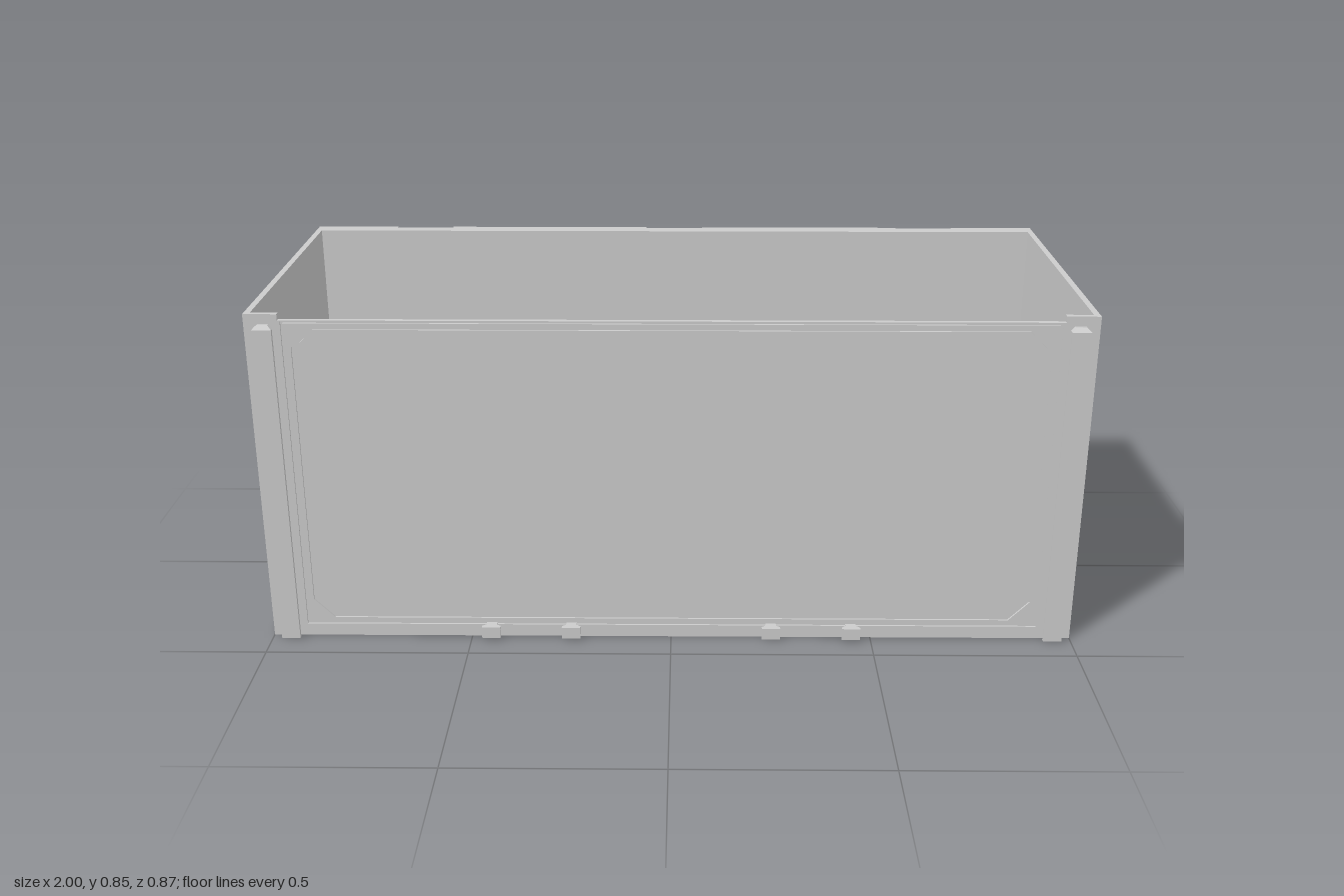
import * as THREE from 'three';

const mat = new THREE.MeshStandardMaterial({ color: 0xcccccc, side: THREE.DoubleSide, flatShading: true });
const H = 0.845;

export function createModel() {
  const model = new THREE.Group();
  const add = (name, geo, x = 0, y = 0, z = 0) => {
    const m = new THREE.Mesh(geo, mat);
    m.name = name;
    m.position.set(x, y, z);
    model.add(m);
    return m;
  };
  const box = (name, x0, x1, y0, y1, z0, z1) =>
    add(name, new THREE.BoxGeometry(x1 - x0, y1 - y0, z1 - z0), (x0 + x1) / 2, (y0 + y1) / 2, (z0 + z1) / 2);
  const rect = (x0, x1, y0, y1, c = 0) => c
    ? [[x0 + c, y0], [x1 - c, y0], [x1, y0 + c], [x1, y1 - c], [x1 - c, y1], [x0 + c, y1], [x0, y1 - c], [x0, y0 + c]]
    : [[x0, y0], [x1, y0], [x1, y1], [x0, y1]];
  const shape = (pts, holes = []) => {
    const s = new THREE.Shape(pts.map(p => new THREE.Vector2(...p)));
    s.holes = holes.map(h => new THREE.Path(h.map(p => new THREE.Vector2(...p))));
    return s;
  };
  const slab = (pts, holes, depth) => new THREE.ExtrudeGeometry(shape(pts, holes), { depth, bevelEnabled: false });
  // Horizontal slab: outline given in (x, z), extruded upwards
  const flip = pts => pts.map(([x, z]) => [x, -z]);
  const floorSlab = (pts, holes, h) => slab(flip(pts), holes.map(flip), h).rotateX(-Math.PI / 2);
  // Sloped band between two equal rings of 3D points
  const band = (a, b) => {
    const v = [];
    a.forEach((p, i) => {
      const j = (i + 1) % a.length;
      v.push(...p, ...a[j], ...b[j], ...p, ...b[j], ...b[i]);
    });
    const g = new THREE.BufferGeometry();
    g.setAttribute('position', new THREE.Float32BufferAttribute(v, 3));
    g.computeVertexNormals();
    return g;
  };

  // Side walls: backing plus skin, split by a thin groove
  const octagon = d => [[0.345 - d, 0.735 - d / 2], [0.28 - d / 2, 0.8 - d], [-0.4 + d, 0.8 - d], [-0.4 + d, 0.1 + d / 2],
    [-0.34 + d / 2, 0.035 + d], [0.14 - d / 2, 0.035 + d], [0.345 - d, 0.24 + d / 2]];
  const sideRect = rect(-0.41, 0.41, 0, H);
  const slot = rect(0.37, 0.395, 0.735, 0.785, 0.006);
  for (const s of [-1, 1]) {
    const layer = (name, pts, holes, outer, depth) =>
      add(name, slab(pts, holes, depth).rotateY(-Math.PI / 2), s > 0 ? outer : -outer + depth);
    layer('sideWall', sideRect, [slot], 0.995, 0.01);
    layer('sideFrame', sideRect, [slot, octagon(0)], 1, 0.005);
    layer('sidePanel', octagon(0.005), [], 1, 0.005);
  }

  // Front wall with grooved panel, and corner posts
  box('frontWall', -0.925, 0.925, 0, 0.83, 0.398, 0.405);
  add('frontFrame', slab(rect(-0.908, 0.908, 0.038, 0.823), [rect(-0.893, 0.893, 0.05, 0.813, 0.05)], 0.005), 0, 0, 0.405);
  add('frontPanel', slab(rect(-0.887, 0.887, 0.056, 0.807, 0.047), [], 0.005), 0, 0, 0.405);
  add('frontBorder', slab(rect(-0.925, 0.925, 0, 0.83), [rect(-0.914, 0.914, 0.032, 0.827)], 0.005), 0, 0, 0.405);
  for (const s of [-1, 1]) {
    box('cornerPost', s > 0 ? 0.92 : -0.99, s > 0 ? 0.99 : -0.92, 0, H, 0.395, 0.41);
  }

  // Dovetail rails and feet on the front
  const dovetail = (h) => floorSlab([[-0.013, 0.405], [-0.013, 0.416], [-0.023, 0.424], [-0.023, 0.433],
    [0.023, 0.433], [0.023, 0.424], [0.013, 0.416], [0.013, 0.405]], [], h);
  for (const x of [-0.953, 0.953]) {
    add('dovetailRail', dovetail(0.81), x, 0.003, 0);
    add('railTip', band(
      rect(x - 0.023, x + 0.023, 0.416, 0.433).map(([a, b]) => [a, 0.813, b]),
      rect(x - 0.013, x + 0.013, 0.411, 0.422).map(([a, b]) => [a, 0.822, b])));
  }
  for (const x of [-0.45, -0.25, 0.25, 0.45]) add('frontTab', dovetail(0.03), x, 0.005, 0);

  // Back wall: inner sheet, outer layers with tapered pockets and clip notches
  const pockets = [];
  for (const s of [-1, 1]) {
    pockets.push([s * 0.88 - 0.09, s * 0.88 + 0.09, 0.02, 0.815]);
    pockets.push([s * 0.70 - 0.07, s * 0.70 + 0.07, 0.02, 0.645]);
    pockets.push([s * 0.35 - 0.27, s * 0.35 + 0.27, 0.02, 0.805]);
  }
  pockets.push([-0.07, 0.07, 0.02, 0.645]);
  const inset = ([a, b, c, d], i) => rect(a + i, b - i, c + i, d - i);
  box('backSheet', -0.995, 0.995, 0, H, -0.393, -0.375);
  add('backCore', slab(rect(-1, 1, 0, H), pockets.map(p => inset(p, 0)), 0.02), 0, 0, -0.413);
  const outline = [[-1, 0], [1, 0], [1, H]];
  for (const x of [0.7, 0, -0.7]) outline.push([x + 0.078, H], [x + 0.07, 0.68], [x - 0.07, 0.68], [x - 0.078, H]);
  outline.push([-1, H]);
  add('backFrame', new THREE.ExtrudeGeometry(shape(outline, pockets.map(p => inset(p, 0.012))), {
    depth: 0.008, bevelEnabled: true, bevelThickness: 0.012, bevelSize: 0.012, bevelOffset: -0.012, bevelSegments: 1,
  }), 0, 0, -0.421);
  for (const p of pockets) {
    add('pocketSlope', band(inset(p, 0).map(([x, y]) => [x, y, -0.433]), inset(p, 0.04).map(([x, y]) => [x, y, -0.393])));
  }
  // Latch ledges under the notches
  for (const x of [-0.7, 0, 0.7]) box('latchLedge', x - 0.05, x + 0.05, 0.69, 0.7, -0.424, -0.41);

  // Floor: lower plate with cross openings, upper grid around the cells
  const cells = [];
  for (let i = 0; i < 5; i++) for (const z of [-0.173, 0.162]) cells.push([-0.755 + i * 0.335, z]);
  const quad = [[0.15, 0.045], [0.132, 0.064], [0.1, 0.066], [0.078, 0.078], [0.066, 0.1], [0.064, 0.132], [0.045, 0.15]];
  const cross = [];
  for (let k = 0; k < 4; k++) {
    const c = [1, 0, -1, 0][k], s = [0, 1, 0, -1][k];
    quad.forEach(([x, y]) => cross.push([x * c - y * s, x * s + y * c]));
  }
  const screws = [];
  for (const [cx, cz] of cells) for (const a of [-0.103, 0.103]) for (const b of [-0.103, 0.103]) screws.push([cx + a, cz + b]);
  const ring8 = ([x, z]) => [...Array(8).keys()].map(i => [x + 0.007 * Math.cos(i * Math.PI / 4), z + 0.007 * Math.sin(i * Math.PI / 4)]);
  const floorRect = rect(-0.99, 0.99, -0.38, 0.4);
  add('floorPlate', floorSlab(floorRect,
    [...cells.map(([x, z]) => cross.map(p => [p[0] + x, p[1] + z])), ...screws.map(ring8)], 0.02));
  add('floorGrid', floorSlab(floorRect,
    [...cells.map(([x, z]) => rect(x - 0.157, x + 0.157, z - 0.157, z + 0.157, 0.012)),
      rect(0.76, 0.91, -0.33, 0.315, 0.012)], 0.03), 0, 0.02, 0);

  // Screw bosses in the cell corners
  const boss = new THREE.LatheGeometry([[0.007, 0], [0.018, 0.008], [0.02, 0.012], [0.034, 0.012], [0.037, 0.009], [0.037, 0]]
    .map(p => new THREE.Vector2(...p)), 20);
  for (const [x, z] of screws) add('screwBoss', boss, x, 0.02, z);

  // Clips in the narrow compartment
  box('compartmentClip', 0.76, 0.778, 0.02, 0.06, -0.025, 0.01);
  box('compartmentClip', 0.892, 0.91, 0.02, 0.06, -0.025, 0.01);

  // Sloped skirt where floor meets walls, and the flat ledge at the front
  add('floorSkirt', band(
    rect(-0.95, 0.95, -0.345, 0.335).map(([x, z]) => [x, 0.05, z]),
    rect(-0.985, 0.985, -0.375, 0.365).map(([x, z]) => [x, 0.085, z])));
  box('frontLedge', -0.985, 0.985, 0.05, 0.085, 0.365, 0.4);

  return model;
}
